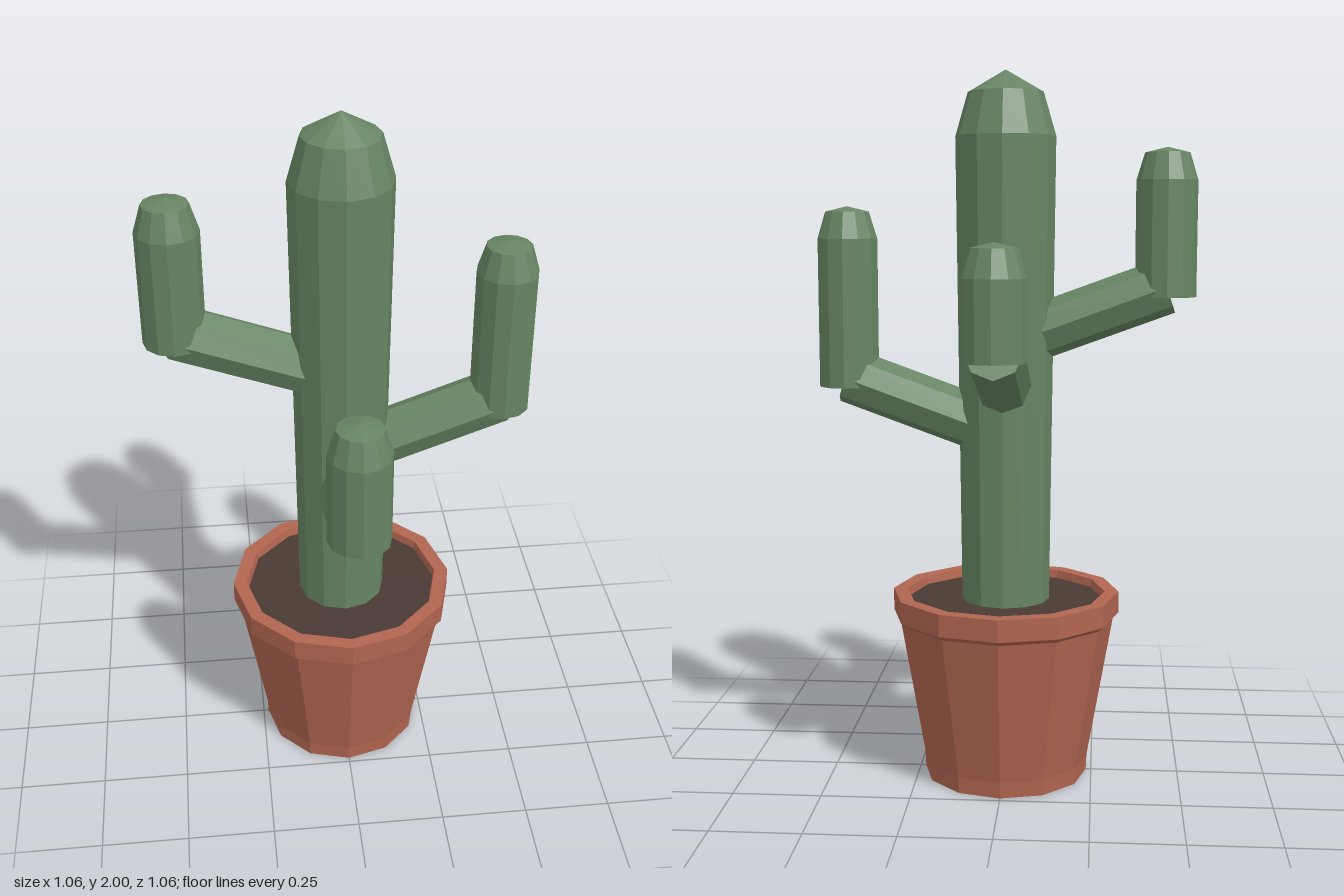
import * as THREE from 'three';

const flat = (name, color) => {
  const m = new THREE.MeshStandardMaterial({ color, flatShading: true });
  m.name = name;
  return m;
};

// Twelve-sided turned part from [radius, height] pairs, bottom to top
function turned(name, profile, material) {
  const points = profile.map(([r, y]) => new THREE.Vector2(r, y));
  const mesh = new THREE.Mesh(new THREE.LatheGeometry(points, 12), material);
  mesh.name = name;
  return mesh;
}

export function createModel() {
  const green = flat('cactus green', 0x668563);
  const clay = flat('terracotta', 0xb0654f);
  const earth = flat('soil brown', 0x4b3a34);
  const model = new THREE.Group();
  model.name = 'pottedCactus';

  // Pot with straight foot, tapered wall and overhanging rim
  model.add(turned('pot', [
    [0, 0], [0.235, 0], [0.237, 0.045], [0.31, 0.46], [0.325, 0.473],
    [0.325, 0.535], [0.285, 0.535], [0.278, 0.5],
  ], clay));

  // Soil disc
  model.add(turned('soil', [[0.281, 0.512], [0, 0.514]], earth));

  // Trunk, slightly wider towards the top
  model.add(turned('trunk', [
    [0, 0.49], [0.125, 0.49], [0.14, 1.82], [0.105, 1.94], [0, 2],
  ], green));

  // Arms: a sloping branch that ends inside an upright stem
  const reach = 0.446, slope = THREE.MathUtils.degToRad(20);
  const arms = [
    ['leftArm', 0, 1.125, 1.63],
    ['backArm', Math.PI / 2, 1.235, 1.535],
    ['rightArm', Math.PI, 1.38, 1.79],
    ['frontArm', -Math.PI / 2, 1.02, 1.375],
  ];
  for (const [name, turn, base, top] of arms) {
    const arm = new THREE.Group();
    arm.name = name;

    const length = (reach - 0.06) / Math.cos(slope);
    const branch = new THREE.Mesh(new THREE.CylinderGeometry(0.078, 0.078, length, 8), green);
    branch.name = 'branch';
    branch.rotation.z = slope - Math.PI / 2;
    branch.position.set(
      reach - Math.cos(slope) * length / 2,
      base + 0.029 - Math.sin(slope) * length / 2, 0);
    arm.add(branch);

    const stem = turned('stem', [
      [0, base], [0.085, base], [0.085, top - 0.09], [0.062, top - 0.015], [0, top],
    ], green);
    stem.position.x = reach;
    arm.add(stem);

    arm.rotation.y = turn;
    model.add(arm);
  }
  return model;
}
